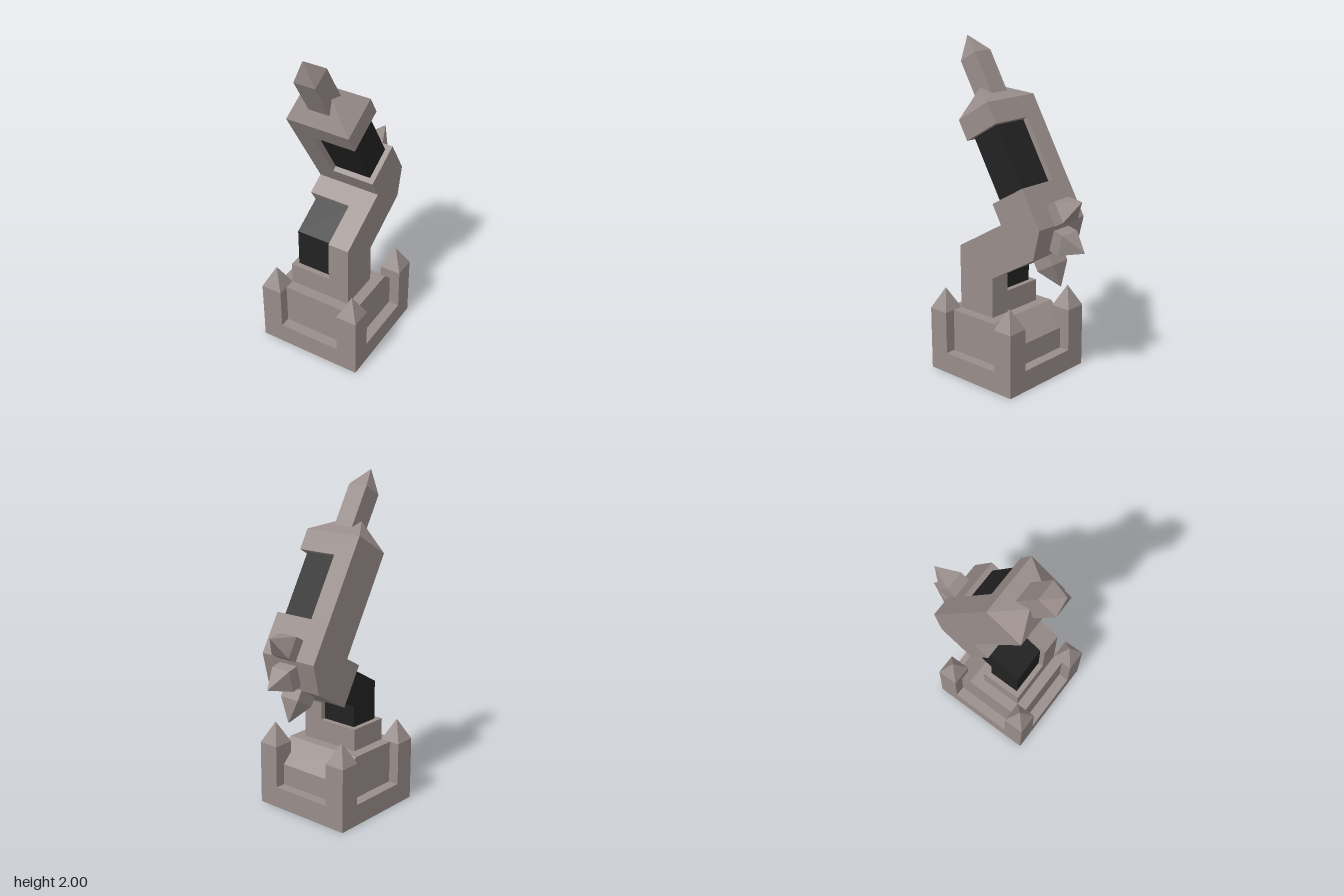
import * as THREE from 'three';

export function createModel() {
  const stone = new THREE.MeshStandardMaterial({ color: 0x988d8a });
  const dark = new THREE.MeshStandardMaterial({ color: 0x222222 });
  stone.name = 'warm grey';
  dark.name = 'near black';
  stone.flatShading = dark.flatShading = true;

  const model = new THREE.Group();
  model.name = 'bentTower';

  function add(parent, name, geometry, material, x = 0, y = 0, z = 0) {
    const mesh = new THREE.Mesh(geometry, material);
    mesh.name = name;
    mesh.position.set(x, y, z);
    parent.add(mesh);
    return mesh;
  }

  // Box spanning x0..x1 and y0..y1, centred on z
  function block(parent, name, x0, x1, y0, y1, depth, material = stone, z = 0) {
    return add(parent, name, new THREE.BoxGeometry(x1 - x0, y1 - y0, depth), material,
      (x0 + x1) / 2, (y0 + y1) / 2, z);
  }

  // Side profile of [z, y] points, extruded across x0..x1
  function prism(name, points, x0, x1, material = stone) {
    const shape = new THREE.Shape(points.map(([z, y]) => new THREE.Vector2(z, y)));
    const g = new THREE.ExtrudeGeometry(shape, { depth: x1 - x0, bevelEnabled: false });
    g.rotateY(-Math.PI / 2).translate(x1, 0, 0);
    return add(model, name, g, material);
  }

  // Square post with a pyramid tip, growing along its own y axis
  function spike(parent, name, height, x, y, z, tilt = 0) {
    const group = new THREE.Group();
    group.name = name;
    group.position.set(x, y, z);
    group.rotation.x = tilt;
    block(group, 'post', -0.065, 0.065, 0, height, 0.13);
    const tip = new THREE.ConeGeometry(0.065 * Math.SQRT2, 0.13, 4, 1, true).rotateY(Math.PI / 4);
    add(group, 'tip', tip, stone, 0, height + 0.065, 0);
    parent.add(group);
  }

  // Base with recessed walls, sloped at the back, and four corner posts
  const baseZ = 0.135;
  block(model, 'baseSlab', -0.325, 0.325, 0, 0.13, 0.65, stone, baseZ);
  prism('baseCore', [[0.395, 0.13], [0.395, 0.39], [0.005, 0.39], [-0.125, 0.26], [-0.125, 0.13]], -0.26, 0.26);
  for (const sx of [-1, 1])
    for (const sz of [-1, 1]) spike(model, 'cornerPost', 0.26, sx * 0.26, 0.13, baseZ + sz * 0.26);

  // Lower column: foot, left wall beside the open notch, dark core in the notch
  block(model, 'columnFoot', -0.195, 0.195, 0.39, 0.525, 0.26, stone, 0.2);
  prism('lowerWall', [[0.33, 0.525], [0.33, 0.785], [0.105, 0.915], [-0.025, 0.69], [0.07, 0.635], [0.07, 0.525]],
    0.065, 0.195);
  prism('lowerCore', [[0.2975, 0.525], [0.2975, 0.766], [0.089, 0.887], [-0.009, 0.718], [0.1025, 0.654], [0.1025, 0.525]],
    -0.1625, 0.065, dark);

  // Elbow joining the two leaning sections
  prism('elbow', [[0.105, 0.915], [-0.002, 0.977], [0.0626, 1.09], [-0.163, 1.22], [-0.29, 1.002],
    [-0.245, 0.818], [-0.025, 0.69]], -0.195, 0.195);

  // Spikes fanned around the back of the elbow
  for (const [y, z, degrees] of [[1.055, -0.262, -60], [0.91, -0.268, -105], [0.79, -0.19, -150]])
    spike(model, 'elbowSpike', 0.065, 0, y, z, THREE.MathUtils.degToRad(degrees));

  // Upper section leans forward 30 degrees; its origin is at the eaves
  const upper = new THREE.Group();
  upper.name = 'upperSection';
  upper.position.set(0, 1.605, 0.21);
  upper.rotation.x = Math.PI / 6;
  model.add(upper);
  block(upper, 'upperCap', -0.195, 0.195, -0.13, 0, 0.26);
  block(upper, 'upperWall', -0.195, -0.065, -0.52, -0.13, 0.26);
  block(upper, 'upperCore', -0.065, 0.1625, -0.52, -0.13, 0.195, dark);

  // Hip roof: pull the top corners of a box in to a short ridge
  const roof = new THREE.BoxGeometry(0.39, 0.13, 0.26);
  const p = roof.attributes.position;
  for (let i = 0; i < p.count; i++)
    if (p.getY(i) > 0) p.setXYZ(i, Math.sign(p.getX(i)) * 0.065, p.getY(i), 0);
  roof.computeVertexNormals();
  add(upper, 'hipRoof', roof, stone, 0, 0.065, 0);
  spike(upper, 'spire', 0.325, 0, 0, 0);

  return model;
}
